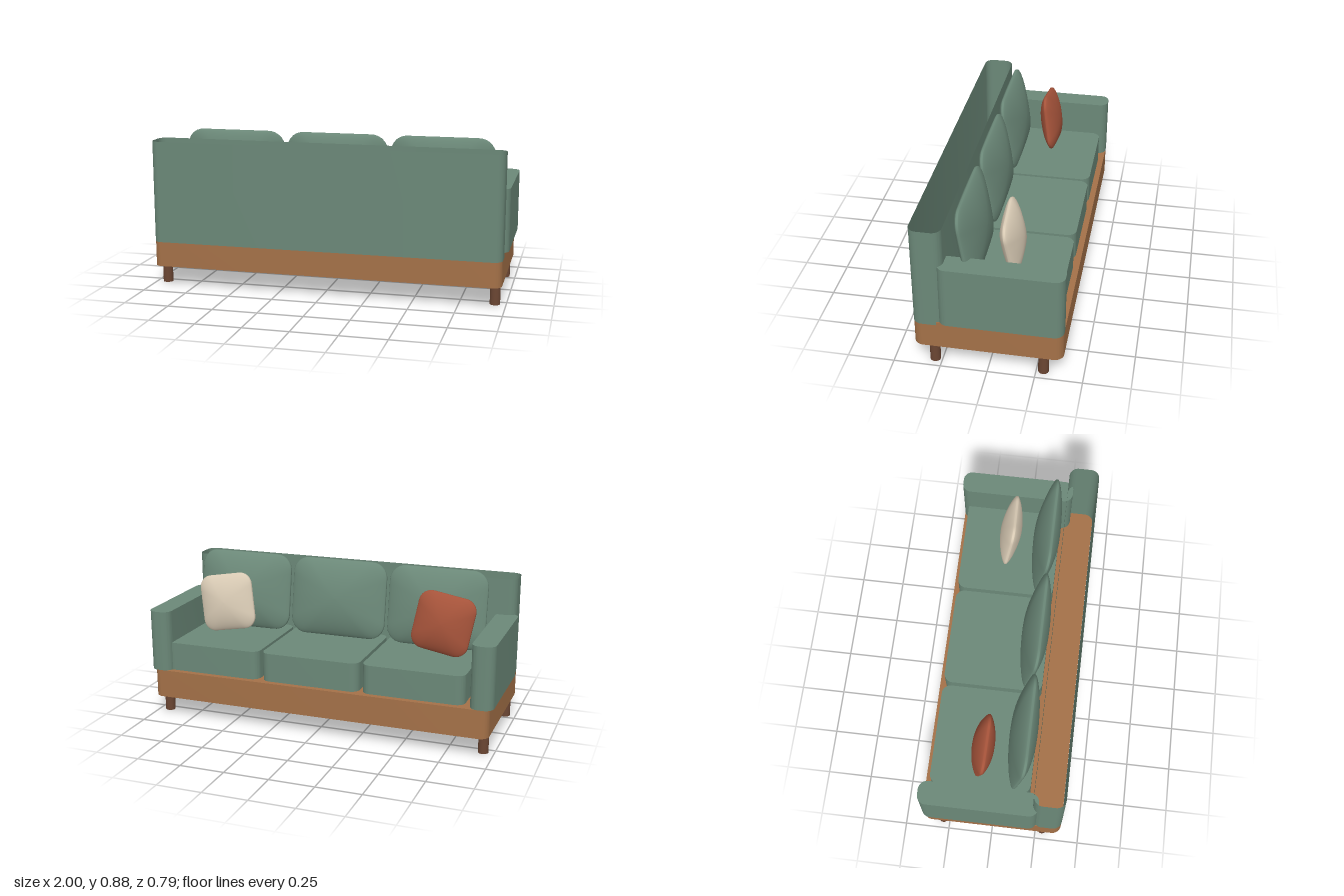
import * as THREE from 'three';
import { toCreasedNormals } from 'three/addons/utils/BufferGeometryUtils.js';

const mat = (name, color, side = THREE.FrontSide) => {
  const m = new THREE.MeshStandardMaterial({ color, side });
  m.name = name;
  return m;
};

function roundedRect(w, h, r) {
  const x = w / 2, y = h / 2, s = new THREE.Shape();
  s.moveTo(0, -y);
  s.lineTo(x - r, -y).absarc(x - r, -y + r, r, -Math.PI / 2, 0, false);
  s.lineTo(x, y - r).absarc(x - r, y - r, r, 0, Math.PI / 2, false);
  s.lineTo(-x + r, y).absarc(-x + r, y - r, r, Math.PI / 2, Math.PI, false);
  s.lineTo(-x, -y + r).absarc(-x + r, -y + r, r, Math.PI, Math.PI * 1.5, false);
  s.lineTo(0, -y);
  return s;
}

// Upright block with corners rounded in plan; "open" leaves out top and bottom
function block(x0, x1, y0, y1, z0, z1, r, open = false) {
  let geo = new THREE.ExtrudeGeometry(roundedRect(x1 - x0, z1 - z0, r),
    { depth: y1 - y0, bevelEnabled: false, curveSegments: 10 });
  if (open) {
    const { start, count } = geo.groups[1];
    const walls = geo.attributes.position.array.slice(start * 3, (start + count) * 3);
    geo = new THREE.BufferGeometry();
    geo.setAttribute('position', new THREE.BufferAttribute(walls, 3));
  }
  geo.clearGroups();
  geo.rotateX(-Math.PI / 2);
  geo.translate((x0 + x1) / 2, y0, (z0 + z1) / 2);
  return toCreasedNormals(geo, 0.6);
}

// Puffed pillow: rings swell from the seam to a soft middle on both faces
function pillow(w, h, t, r) {
  const outline = roundedRect(w, h, r).getSpacedPoints(80);
  outline.pop();
  const n = outline.length, half = 12, seam = 0.005, pos = [], idx = [];
  const addRing = (a, sign) => {
    const d = Math.max(Math.sin(a), 0.001);
    const z = sign * (seam + (t / 2 - seam) * Math.pow(Math.max(Math.cos(a), 0), 1.5));
    for (const p of outline) {
      const k = d * (d + (1 - d) / Math.hypot(p.x / (w / 2), p.y / (h / 2)));
      pos.push(p.x * k, p.y * k, z);
    }
  };
  for (let i = 0; i <= half; i++) addRing(i / half * Math.PI / 2, 1);
  for (let i = half; i >= 0; i--) addRing(i / half * Math.PI / 2, -1);
  for (let i = 0; i < 2 * half + 1; i++) {
    for (let j = 0; j < n; j++) {
      const a = i * n + j, b = i * n + (j + 1) % n;
      idx.push(a, a + n, b + n, a, b + n, b);
    }
  }
  const geo = new THREE.BufferGeometry();
  geo.setAttribute('position', new THREE.Float32BufferAttribute(pos, 3));
  geo.setIndex(idx);
  geo.computeVertexNormals();
  return geo;
}

export function createModel() {
  const sofa = new THREE.Group();
  sofa.name = 'sofa';
  const green = mat('greenUpholstery', 0x6b8878, THREE.DoubleSide);
  const wood = mat('baseWood', 0xa47148);
  const darkWood = mat('legWood', 0x6b4633);
  const rust = mat('rustFabric', 0xa5533a);
  const cream = mat('creamFabric', 0xd8cab4);

  const add = (name, geo, material) => {
    const m = new THREE.Mesh(geo, material);
    m.name = name;
    sofa.add(m);
    return m;
  };

  // Wooden base and legs
  add('base', block(-0.98, 0.98, 0.115, 0.275, -0.393, 0.393, 0.05), wood);
  for (const x of [-0.94, 0.94]) {
    for (const z of [-0.288, 0.288]) {
      add('leg', new THREE.CylinderGeometry(0.028, 0.028, 0.115, 24), darkWood)
        .position.set(x, 0.0575, z);
    }
  }

  // Hollow backrest, open at the top
  add('backrest', block(-0.981, 0.981, 0.255, 0.827, 0.225, 0.394, 0.05, true), green);

  // Armrests
  add('leftArm', block(0.872, 1, 0.275, 0.622, -0.394, 0.255, 0.05), green);
  add('rightArm', block(-1, -0.872, 0.275, 0.622, -0.394, 0.255, 0.05), green);

  // Seat and back cushions
  for (let i = 0; i < 3; i++) {
    const x = -0.555 + i * 0.589;
    add('seatCushion', block(x - 0.285, x + 0.285, 0.275, 0.437, -0.36, 0.2, 0.05), green);
    const back = add('backCushion', pillow(0.57, 0.445, 0.142, 0.09), green);
    back.position.set(x, 0.656, 0.132);
    back.rotation.x = 0.157;
  }

  // Throw pillows, leaning and tipped outward
  for (const [name, side, material] of [['creamPillow', 1, cream], ['rustPillow', -1, rust]]) {
    const p = add(name, pillow(0.325, 0.325, 0.12, 0.07), material);
    p.position.set(side * 0.647, 0.628, -0.077);
    p.rotation.set(0.157, 0, -side * 0.17);
  }
  return sofa;
}
